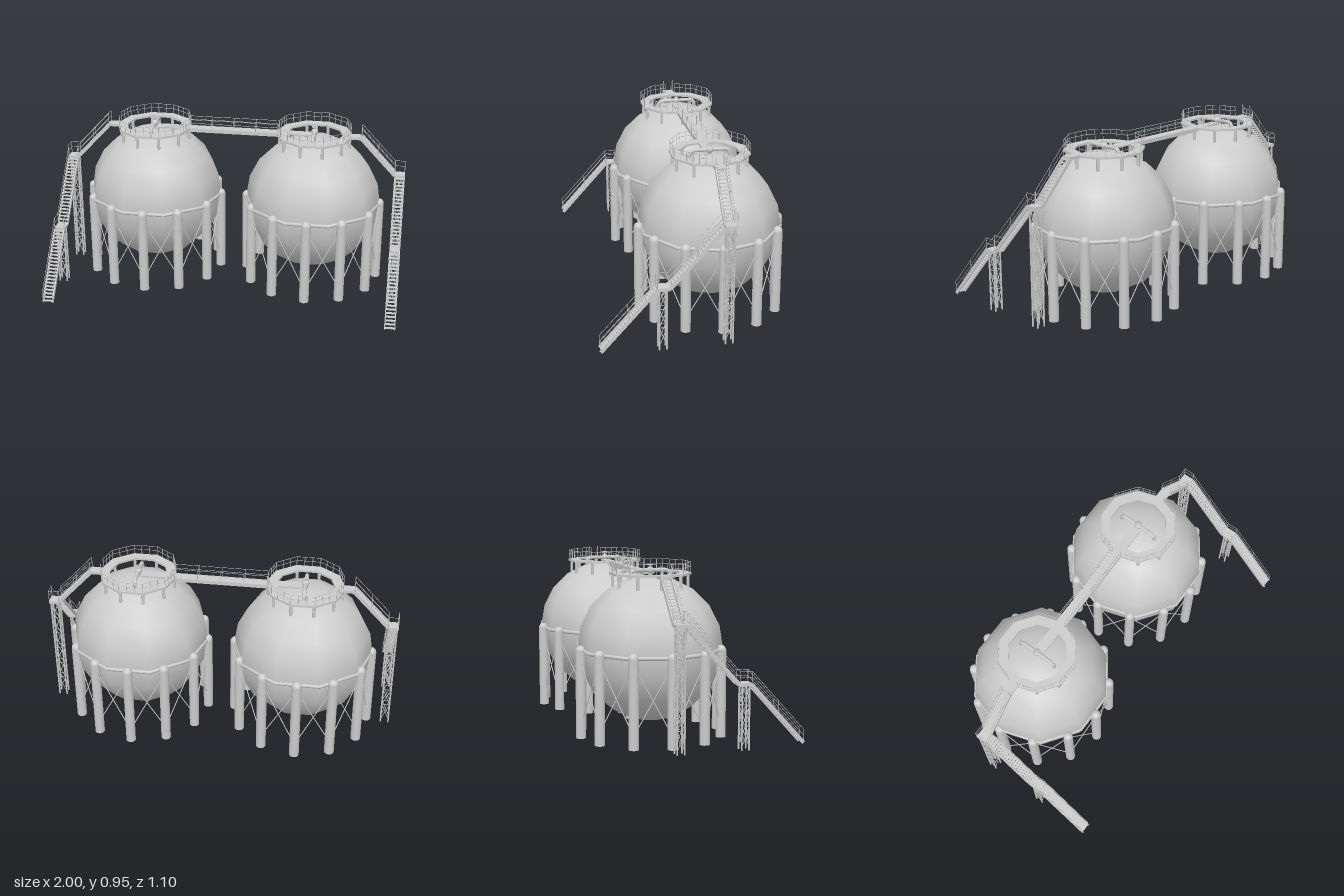
import * as THREE from 'three';

const mat = new THREE.MeshStandardMaterial({ color: 0xcccccc });
const flat = new THREE.MeshStandardMaterial({ color: 0xcccccc, flatShading: true });
const V = (x, y, z) => new THREE.Vector3(x, y, z);
const UP = V(0, 1, 0);
const Z = -0.14, CX = 0.47, CY = 0.475, R = 0.395, DECK = 0.886, STAIR_X = 0.969;

function add(parent, name, geo, pos, m = mat) {
  const mesh = new THREE.Mesh(geo, m);
  mesh.name = name;
  if (pos) mesh.position.copy(pos);
  parent.add(mesh);
  return mesh;
}
function group(parent, name) {
  const g = new THREE.Group();
  g.name = name;
  parent.add(g);
  return g;
}
// Round bar between two points
function rod(parent, name, a, b, r, sides = 5) {
  const mesh = add(parent, name, new THREE.CylinderGeometry(r, r, a.distanceTo(b), sides), a.clone().lerp(b, 0.5));
  mesh.quaternion.setFromUnitVectors(UP, b.clone().sub(a).normalize());
}
// Rectangular bar between two points
function beam(parent, name, a, b, w, h) {
  const mesh = add(parent, name, new THREE.BoxGeometry(w, h, a.distanceTo(b)), a.clone().lerp(b, 0.5), flat);
  mesh.lookAt(b);
}
// Two rails on posts along a polyline
function railing(parent, pts, posts, h = 0.056) {
  for (let i = 0; i < pts.length - 1; i++) {
    const a = pts[i], b = pts[i + 1];
    for (const y of [h, h * 0.55]) rod(parent, 'rail', a.clone().setY(a.y + y), b.clone().setY(b.y + y), 0.0014, 4);
    for (let k = 0; k <= posts; k++) {
      const p = a.clone().lerp(b, k / posts);
      rod(parent, 'railPost', p, p.clone().setY(p.y + h), 0.0018, 4);
    }
  }
}
// Flight of steps with stringers and handrails, from top a to bottom b
function flight(parent, name, a, b, w, steps) {
  const g = group(parent, name);
  const dir = b.clone().sub(a).setY(0).normalize();
  const side = dir.clone().cross(UP).multiplyScalar(w / 2);
  for (const s of [-1, 1]) {
    const o = side.clone().multiplyScalar(s);
    beam(g, 'stringer', a.clone().add(o), b.clone().add(o), 0.005, 0.02);
    railing(g, [a.clone().add(o), b.clone().add(o)], 2, 0.07);
  }
  for (let i = 0; i < steps; i++) {
    const p = a.clone().lerp(b, (i + 0.5) / steps);
    beam(g, 'step', p.clone().addScaledVector(dir, -0.008), p.clone().addScaledVector(dir, 0.008), w, 0.004);
  }
}
// Four-legged lattice tower
function tower(parent, name, x, z, w, d, h, bays) {
  const g = group(parent, name);
  const c = [[-1, -1], [1, -1], [1, 1], [-1, 1]].map(([i, j]) => V(x + i * w / 2, 0, z + j * d / 2));
  c.forEach((p, i) => {
    const q = c[(i + 1) % 4];
    rod(g, 'towerLeg', p, p.clone().setY(h), 0.005, 6);
    for (let k = 0; k < bays; k++) {
      const y0 = 0.02 + k * (h - 0.02) / bays, y1 = 0.02 + (k + 1) * (h - 0.02) / bays;
      rod(g, 'towerBrace', p.clone().setY(y0), q.clone().setY(y1), 0.002, 4);
      rod(g, 'towerBrace', q.clone().setY(y0), p.clone().setY(y1), 0.002, 4);
      rod(g, 'towerTie', p.clone().setY(y1), q.clone().setY(y1), 0.002, 4);
    }
  });
}
const polygon = r => Array.from({ length: 10 }, (_, i) =>
  new THREE.Vector2(r * Math.cos(i * Math.PI / 5), r * Math.sin(i * Math.PI / 5)));

function tank(parent) {
  add(parent, 'sphereTank', new THREE.SphereGeometry(R, 10, 10), V(0, CY, 0));
  const ring = add(parent, 'ringGirder', new THREE.TorusGeometry(0.392, 0.011, 8, 10), V(0, CY, 0));
  ring.rotation.x = Math.PI / 2;

  // Support columns with domed heads and cross bracing
  const col = i => V(0.39 * Math.cos(i * Math.PI / 6), 0, 0.39 * Math.sin(i * Math.PI / 6));
  for (let i = 0; i < 12; i++) {
    const p = col(i), q = col(i + 1);
    rod(parent, 'column', p, p.clone().setY(CY), 0.028, 12);
    add(parent, 'columnHead', new THREE.SphereGeometry(0.028, 12, 5, 0, Math.PI * 2, 0, Math.PI / 2), p.clone().setY(CY));
    rod(parent, 'crossBrace', p.clone().setY(0.07), q.clone().setY(0.44), 0.003);
    rod(parent, 'crossBrace', q.clone().setY(0.07), p.clone().setY(0.44), 0.003);
  }

  // Ten-sided top walkway on short legs
  const shape = new THREE.Shape(polygon(0.222));
  shape.holes.push(new THREE.Path(polygon(0.165)));
  const deck = add(parent, 'ringWalkway', new THREE.ExtrudeGeometry(shape, { depth: 0.012, bevelEnabled: false }), V(0, DECK, 0), flat);
  deck.rotation.x = Math.PI / 2;
  polygon(0.203).forEach(p => rod(parent, 'walkwayLeg', V(p.x, 0.79, p.y), V(p.x, DECK - 0.01, p.y), 0.009, 8));

  // Railing in two halves, open where stairs and bridge arrive
  const v = polygon(0.218);
  const gap = 0.03 / v[1].y;
  for (const s of [-1, 1]) {
    const pts = [v[0].clone().lerp(v[1], gap), ...v.slice(1, 5), v[5].clone().lerp(v[4], gap)];
    railing(parent, pts.map(p => V(p.x, DECK, s * p.y)), 3);
  }

  // Arched pipe with central valve
  const path = new THREE.CurvePath();
  const e = 0.112, t = 0.897, k = 0.035;
  path.add(new THREE.LineCurve3(V(0, 0.82, -e), V(0, t - k, -e)));
  path.add(new THREE.QuadraticBezierCurve3(V(0, t - k, -e), V(0, t, -e), V(0, t, -e + k)));
  path.add(new THREE.LineCurve3(V(0, t, -e + k), V(0, t, e - k)));
  path.add(new THREE.QuadraticBezierCurve3(V(0, t, e - k), V(0, t, e), V(0, t - k, e)));
  path.add(new THREE.LineCurve3(V(0, t - k, e), V(0, 0.82, e)));
  add(parent, 'topPipe', new THREE.TubeGeometry(path, 40, 0.011, 8));
  rod(parent, 'valveBase', V(0, 0.85, 0), V(0, t, 0), 0.012, 8);
  add(parent, 'valveBody', new THREE.SphereGeometry(0.02, 10, 8), V(0, t, 0));
  rod(parent, 'valveStem', V(0, t, 0), V(0, 0.928, 0), 0.004, 6);
  const wheel = add(parent, 'valveWheel', new THREE.TorusGeometry(0.015, 0.003, 5, 12), V(0, 0.926, 0));
  wheel.rotation.x = Math.PI / 2;
  rod(parent, 'valveSpoke', V(-0.015, 0.926, 0), V(0.015, 0.926, 0), 0.002);
}

function stairs(parent, s) {
  const w = 0.056, x = s * STAIR_X;
  // Upper landing and flight to the tank top
  beam(parent, 'entryWalkway', V(s * 0.67, 0.878, Z), V(s * 0.742, 0.878, Z), w, 0.016);
  flight(parent, 'upperStair', V(s * 0.742, 0.877, Z), V(s * 0.94, 0.665, Z), w, 14);
  add(parent, 'upperLanding', new THREE.BoxGeometry(0.06, 0.016, 0.062), V(x, 0.66, Z), flat);
  railing(parent, [V(x - s * 0.028, 0.665, Z - 0.03), V(x + s * 0.028, 0.665, Z - 0.03), V(x + s * 0.028, 0.665, Z + 0.03)], 1, 0.07);
  tower(parent, 'tallTower', x, Z, 0.044, 0.04, 0.655, 6);

  // Lower flights with an intermediate landing
  flight(parent, 'middleStair', V(x, 0.658, -0.11), V(x, 0.345, 0.175), w, 20);
  add(parent, 'lowerLanding', new THREE.BoxGeometry(0.06, 0.018, 0.066), V(x, 0.345, 0.207), flat);
  for (const i of [-1, 1]) railing(parent, [V(x + i * 0.028, 0.345, 0.175), V(x + i * 0.028, 0.345, 0.24)], 1, 0.07);
  tower(parent, 'shortTower', x, 0.21, 0.044, 0.04, 0.34, 3);
  flight(parent, 'lowerStair', V(x, 0.345, 0.24), V(x, 0.02, 0.535), w, 21);
}

export function createModel() {
  const model = new THREE.Group();
  model.name = 'sphericalStorageTanks';
  for (const s of [1, -1]) {
    const side = s > 0 ? 'left' : 'right';
    const g = group(model, side + 'Tank');
    g.position.set(s * CX, 0, Z);
    tank(g);
    stairs(group(model, side + 'Stairs'), s);
    // Short catwalk from the ring to the valve
    beam(model, 'valveCatwalk', V(s * 0.29, 0.88, Z), V(s * 0.455, 0.88, Z), 0.056, 0.01);
  }

  // Bridge joining the two tank tops
  const bridge = group(model, 'bridge');
  beam(bridge, 'bridgeDeck', V(-0.27, 0.874, Z), V(0.27, 0.874, Z), 0.058, 0.022);
  for (const s of [-1, 1]) railing(bridge, [V(-0.26, DECK, Z + s * 0.028), V(0.26, DECK, Z + s * 0.028)], 4);
  return model;
}
